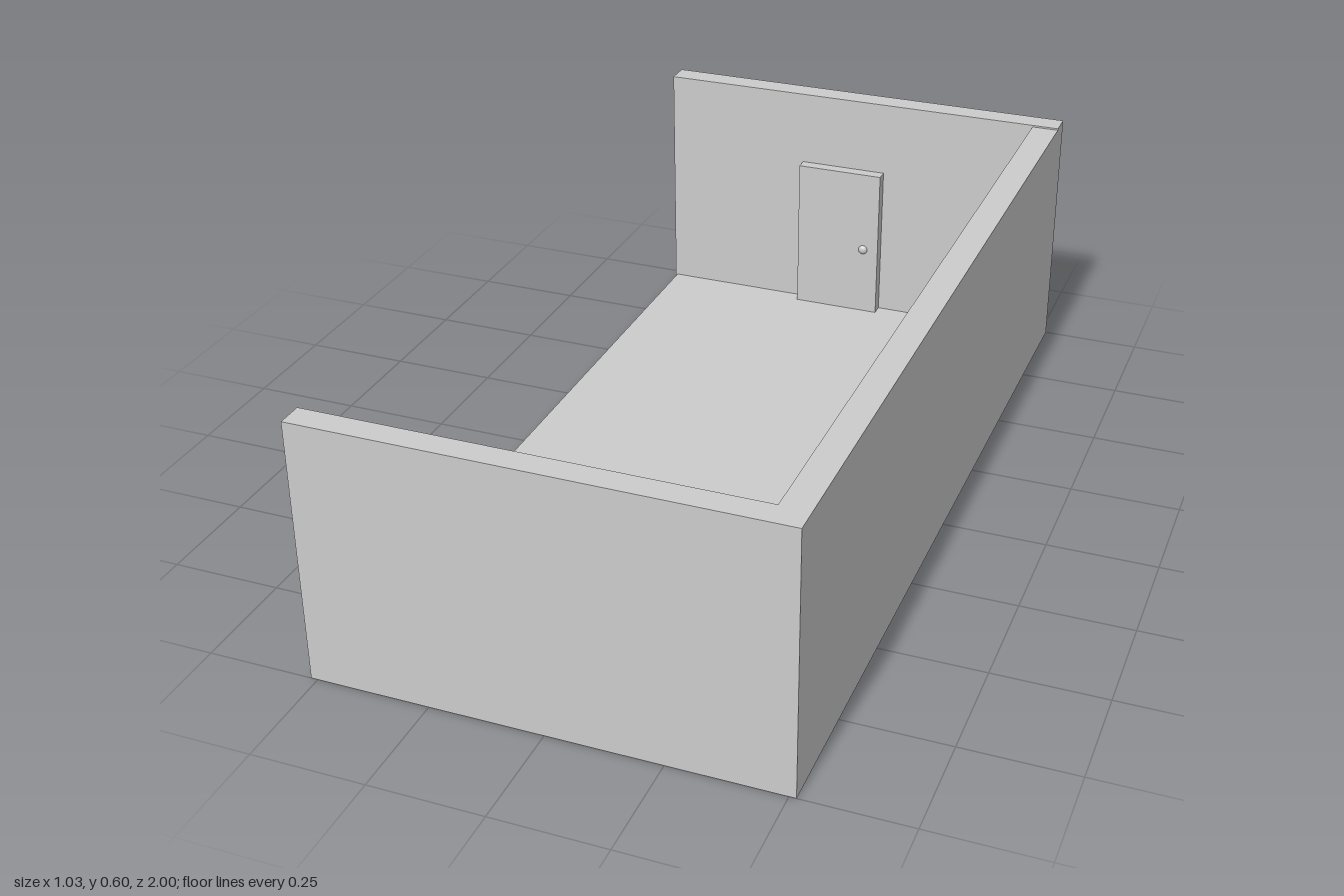
import * as THREE from 'three';

export function createModel() {
  const room = new THREE.Group();
  room.name = 'room';
  const mat = new THREE.MeshStandardMaterial({ color: 0xcccccc });

  // Box given by its min and max corners
  function box(name, [x0, y0, z0], [x1, y1, z1], parent = room) {
    const geo = new THREE.BoxGeometry(x1 - x0, y1 - y0, z1 - z0);
    geo.translate((x0 + x1) / 2, (y0 + y1) / 2, (z0 + z1) / 2);
    const mesh = new THREE.Mesh(geo, mat);
    mesh.name = name;
    parent.add(mesh);
  }

  const X = 0.515, inX = 0.451, inZ = 0.942, H = 0.593, floorY = 0.02;

  // Floor slab and three walls; the -x side stays open
  box('floor', [-X + 0.004, 0, -inZ], [inX, floorY, inZ]);
  box('backWall', [-X, 0, -1], [X, H + 0.004, -inZ]);
  box('frontWall', [-X, 0, inZ], [X, H, 1]);
  box('sideWall', [inX, 0, -inZ], [X, H, inZ]);

  // Door slab with a round knob; side is the sign of the wall's z
  function door(name, side, thickness) {
    const group = new THREE.Group();
    group.name = name;
    box('doorPanel', [-0.11, 0, 0], [0.11, 0.39, thickness], group);
    const knob = new THREE.Mesh(new THREE.SphereGeometry(0.012, 20, 14), mat);
    knob.name = 'doorKnob';
    knob.scale.z = 0.7;
    knob.position.set(0.07, 0.178, thickness);
    group.add(knob);
    group.position.set(-0.04, floorY, side * inZ);
    if (side > 0) group.rotation.y = Math.PI;
    room.add(group);
  }
  door('backDoor', -1, 0.03);
  door('frontDoor', 1, 0.025);

  return room;
}
